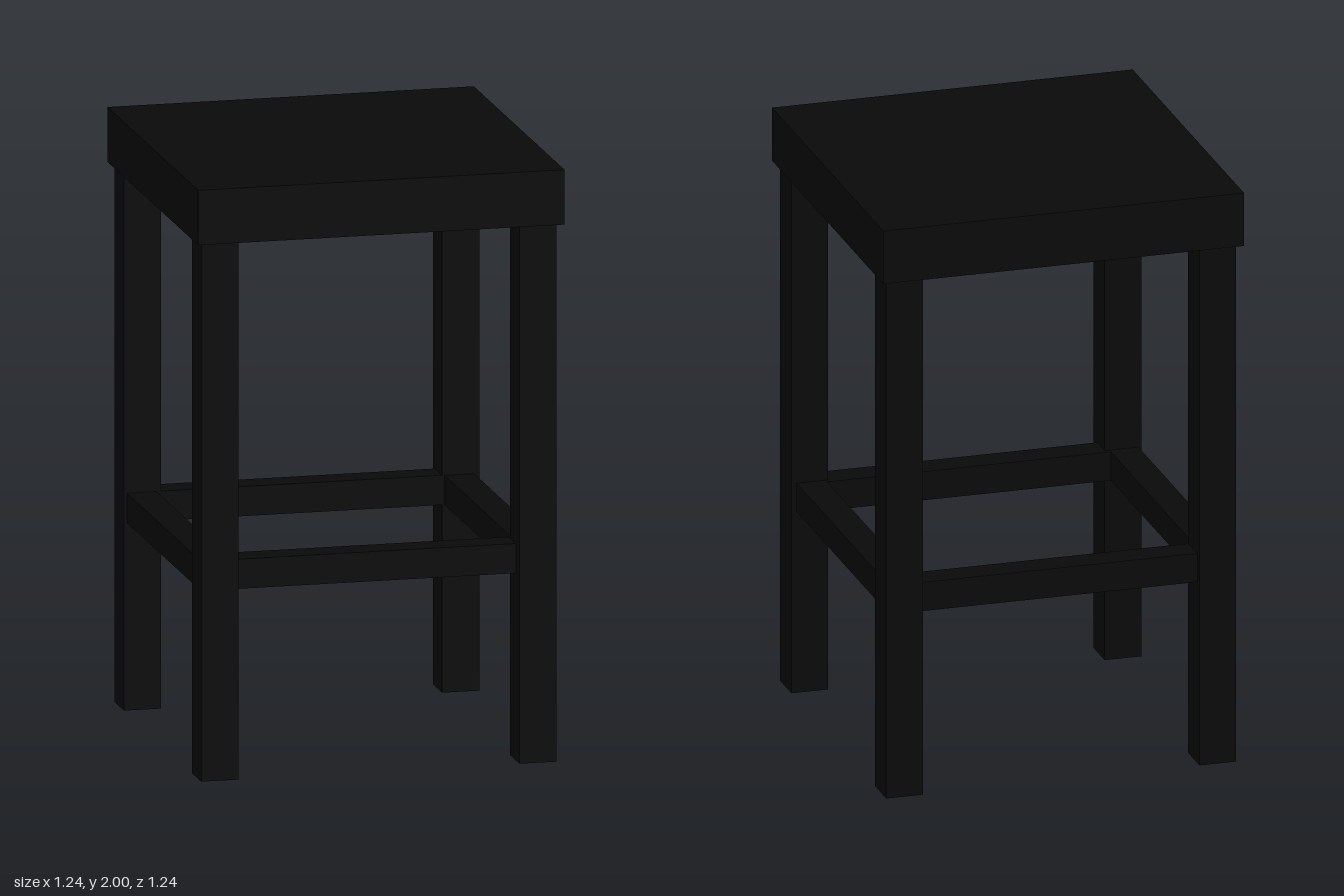
import * as THREE from 'three';

export function createModel() {
  const stool = new THREE.Group();
  stool.name = 'stool';
  const black = new THREE.MeshStandardMaterial({ color: 0x0a0a0a });

  function addBox(name, size, position) {
    const mesh = new THREE.Mesh(new THREE.BoxGeometry(...size), black);
    mesh.name = name;
    mesh.position.set(...position);
    stool.add(mesh);
  }

  // thick square seat
  addBox('seat', [1.24, 0.185, 1.24], [0, 1.9075, 0]);

  // four square legs
  const legX = { Left: 0.535, Right: -0.542 };
  const legZ = { front: 0.538, back: -0.518 };
  for (const [end, z] of Object.entries(legZ)) {
    for (const [side, x] of Object.entries(legX)) {
      addBox(`${end}${side}Leg`, [0.126, 1.82, 0.126], [x, 0.91, z]);
    }
  }

  // square stretchers joining the legs
  const barY = 0.683, bar = 0.1;
  addBox('frontStretcher', [1.0, bar, bar], [-0.004, barY, 0.507]);
  addBox('backStretcher', [1.0, bar, bar], [-0.004, barY, -0.507]);
  addBox('leftStretcher', [bar, bar, 1.0], [0.53, barY, 0.01]);
  addBox('rightStretcher', [bar, bar, 1.0], [-0.545, barY, 0.01]);

  return stool;
}
